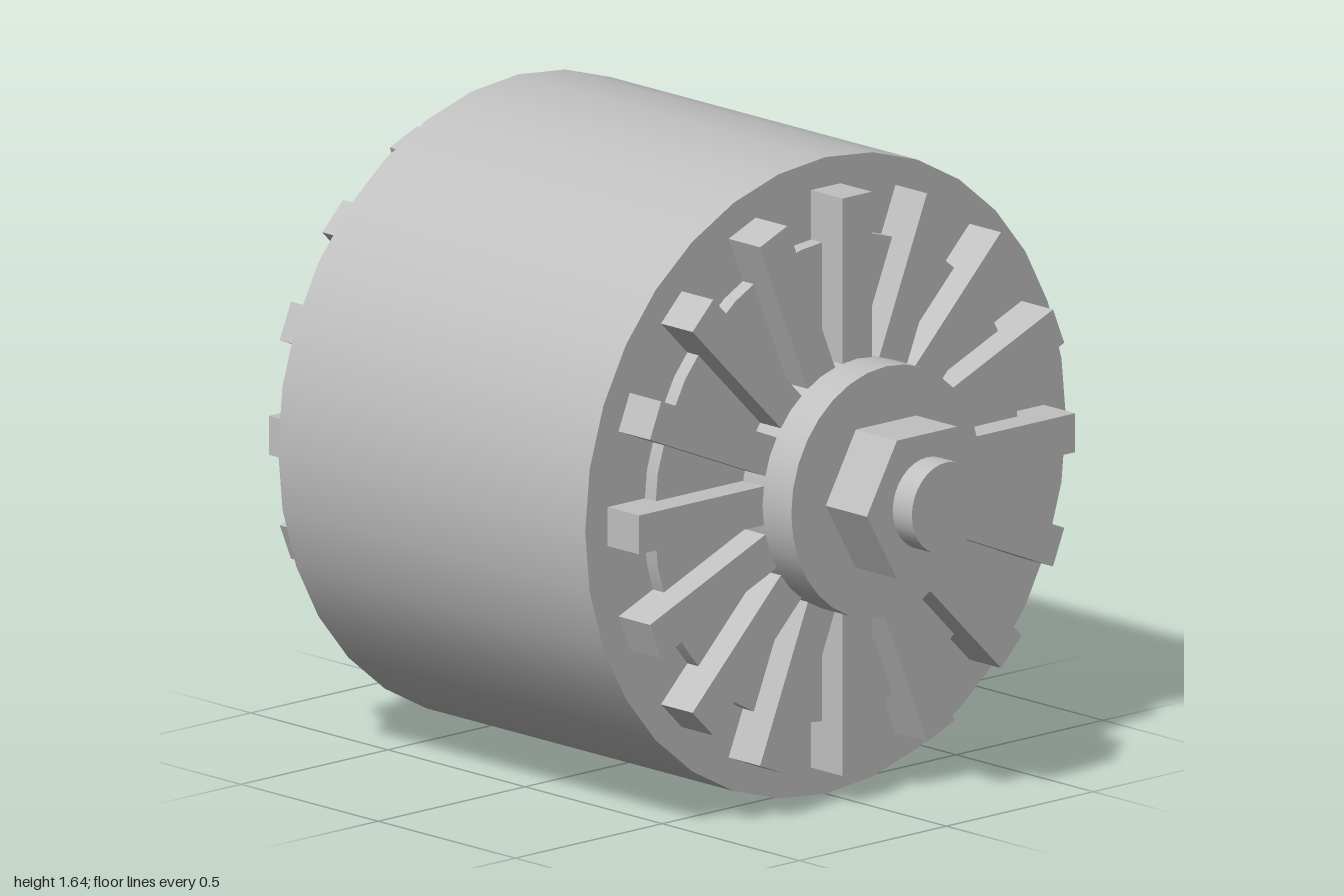
import * as THREE from 'three';

const AXIS_Y = 0.818;

export function createModel() {
  const model = new THREE.Group();
  const grey = new THREE.MeshStandardMaterial({ color: 0xc0c0c0 });
  grey.name = 'grey metal';

  // Cylinder lying along z, running from z0 to z1
  function disc(parent, name, radius, z0, z1, sides = 32) {
    let geo = new THREE.CylinderGeometry(radius, radius, z1 - z0, sides);
    if (sides === 6) {
      geo.rotateY(Math.PI / 6); // corners point left and right
      geo = geo.toNonIndexed();
      geo.computeVertexNormals(); // crisp facets
    }
    geo.rotateX(Math.PI / 2);
    geo.translate(0, 0, (z0 + z1) / 2);
    const mesh = new THREE.Mesh(geo, grey);
    mesh.name = name;
    parent.add(mesh);
  }

  // One end of the rotor, built facing +z
  function endAssembly(name) {
    const end = new THREE.Group();
    end.name = name;
    disc(end, 'raisedDisc', 0.62, 0.56, 0.6);
    disc(end, 'hubFlange', 0.322, 0.6, 0.78);
    disc(end, 'hexNut', 0.205, 0.78, 0.93, 6);
    disc(end, 'shaftEnd', 0.117, 0.93, 1);

    // Radial cooling fins
    const inner = 0.28, outer = 0.742;
    const finGeo = new THREE.BoxGeometry(outer - inner, 0.1, 0.115);
    finGeo.translate((inner + outer) / 2, 0, 0.6175);
    for (let i = 0; i < 16; i++) {
      const fin = new THREE.Mesh(finGeo, grey);
      fin.name = 'fin';
      fin.rotation.z = (i * Math.PI) / 8;
      end.add(fin);
    }
    end.position.y = AXIS_Y;
    return end;
  }

  // Main drum
  const body = new THREE.Group();
  body.name = 'body';
  body.position.y = AXIS_Y;
  disc(body, 'drum', 0.818, -0.56, 0.56);
  model.add(body);

  // Matching ends
  const front = endAssembly('frontEnd');
  const back = endAssembly('backEnd');
  back.rotation.y = Math.PI;
  model.add(front, back);

  return model;
}
